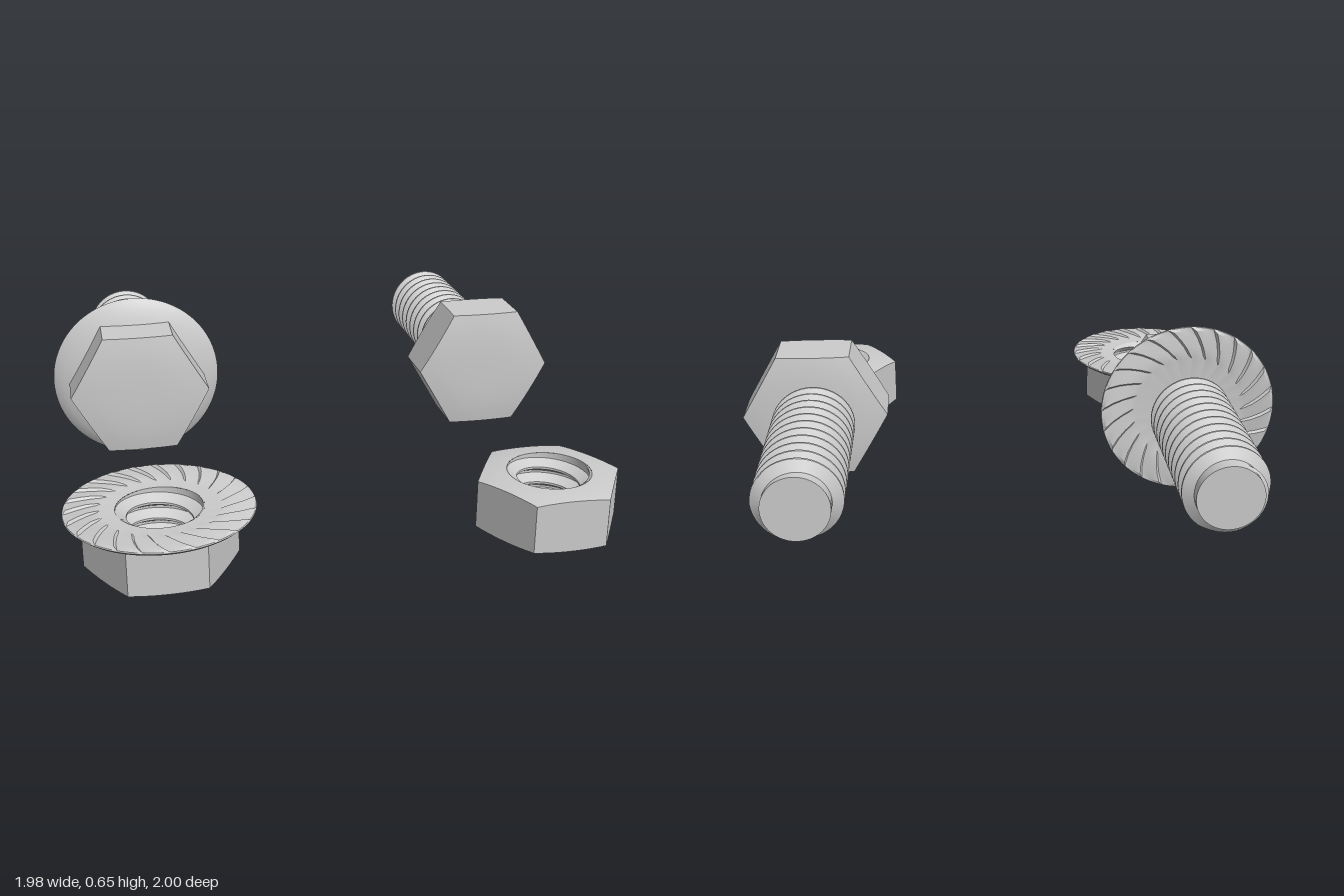
import * as THREE from 'three';
import { toCreasedNormals } from 'three/addons/utils/BufferGeometryUtils.js';

const TAU = Math.PI * 2;
const MINOR = 0.113, MAJOR = 0.15, PITCH = 0.06;
const material = new THREE.MeshStandardMaterial({ color: 0xcccccc });

// Skin around the y axis; point(angle, row, step) returns [radius, height, twist].
function ringMesh(name, segments, rows, point) {
  const pos = [], index = [];
  for (let i = 0; i < rows; i++) {
    for (let j = 0; j <= segments; j++) {
      const a = (j / segments) * TAU;
      const [r, y, twist = 0] = point(a, i, j);
      pos.push(r * Math.cos(a + twist), y, -r * Math.sin(a + twist));
    }
  }
  const w = segments + 1;
  for (let i = 0; i < rows - 1; i++) {
    for (let j = 0; j < segments; j++) {
      const a = i * w + j, b = a + 1, d = a + w, c = d + 1;
      index.push(a, b, d, b, c, d);
    }
  }
  const geo = new THREE.BufferGeometry();
  geo.setAttribute('position', new THREE.Float32BufferAttribute(pos, 3));
  geo.setIndex(index);
  const mesh = new THREE.Mesh(toCreasedNormals(geo, 0.4), material);
  mesh.name = name;
  return mesh;
}

// Hexagonal body with softly domed ends; an open top is hidden inside a flange.
function hexBody(name, height, bottomHole, topHole, openTop) {
  const steps = 6;
  const drop = (r) => 0.022 * Math.pow(r / 0.265, 3);
  return ringMesh(name, 72, openTop ? steps + 2 : 2 * steps + 2, (a, i) => {
    const R = 0.23 / Math.cos((a % (Math.PI / 3)) - Math.PI / 6);
    if (i <= steps) {
      const r = bottomHole + (R - bottomHole) * (i / steps);
      return [r, bottomHole ? drop(r) - drop(bottomHole) : drop(r)];
    }
    if (openTop) return [R, height];
    const r = R + (topHole - R) * ((i - steps - 1) / steps);
    return [r, height - drop(r)];
  });
}

// Helical V thread, its rows following the helix; inner threads face the axis.
function thread(name, y0, y1, inner) {
  const profile = [[0, 0], [0.14, 0], [0.5, 1], [0.64, 1]];
  const turns = Math.ceil((y1 - y0) / PITCH) + 1;
  const rows = turns * 4 + 1;
  const margin = inner ? 0 : 0.025;
  return ringMesh(name, 48, rows, (a, i) => {
    const k = inner ? rows - 1 - i : i;
    const [t, crest] = profile[k % 4];
    const raw = y0 + PITCH * (Math.floor(k / 4) + t - 1 + a / TAU);
    const y = THREE.MathUtils.clamp(raw, y0, y1);
    const fade = THREE.MathUtils.clamp((Math.min(y - y0, y1 - y) - margin) / 0.025, 0, 1);
    const rise = (MAJOR - MINOR) * crest * fade;
    return [inner ? MAJOR - rise : MINOR + rise, y];
  });
}

// Dished flange with a ring of swept ratchet teeth on its bearing face.
function flange(hole) {
  const teeth = 24, perTooth = 8;
  // radius, height, tooth height
  const profile = [
    [0.2, 0.16, 0], [0.25, 0.175, 0], [0.285, 0.188, 0], [0.312, 0.203, 0],
    [0.325, 0.214, 0], [0.323, 0.218, 0], [0.312, 0.216, 0.009], [0.28, 0.215, 0.009],
    [0.245, 0.215, 0.008], [0.215, 0.215, 0.004], [0.2, 0.215, 0], [hole, 0.213, 0],
  ];
  return ringMesh('serratedFlange', teeth * perTooth, profile.length, (a, i, j) => {
    const [r, y, h] = profile[i];
    const saw = (j % perTooth) / (perTooth - 1);
    return [r, y + h * saw, i > 4 ? Math.max(0, r - 0.2) * 2.2 : 0.27];
  });
}

// Bolt standing on its head along +y.
function bolt(name, flanged) {
  const g = new THREE.Group();
  g.name = name;
  const top = flanged ? 0.213 : 0.23;
  g.add(hexBody('hexHead', flanged ? 0.19 : top, 0, 0.1, flanged));
  if (flanged) g.add(flange(0.1));
  g.add(thread('threadedShank', top - 0.01, 0.96, false));
  const tip = new THREE.Mesh(new THREE.CircleGeometry(MINOR, 48), material);
  tip.name = 'shankEnd';
  tip.rotation.x = -Math.PI / 2;
  tip.position.y = 0.96;
  g.add(tip);
  return g;
}

// Nut with a threaded through hole.
function nut(name, flanged) {
  const g = new THREE.Group();
  g.name = name;
  g.add(hexBody('hexNutBody', flanged ? 0.19 : 0.217, MAJOR, MAJOR, flanged));
  if (flanged) g.add(flange(MAJOR));
  g.add(thread('innerThread', 0, 0.213, true));
  return g;
}

export function createModel() {
  const model = new THREE.Group();
  model.name = 'boltsAndNuts';
  for (const [x, flanged] of [[-0.665, true], [0.72, false]]) {
    const b = bolt(flanged ? 'flangeBolt' : 'hexBolt', flanged);
    b.rotation.x = -Math.PI / 2;
    b.position.set(x, 0.33, -0.04);
    const n = nut(flanged ? 'flangeNut' : 'hexNut', flanged);
    n.position.set(x, 0, 0.672);
    model.add(b, n);
  }
  return model;
}
